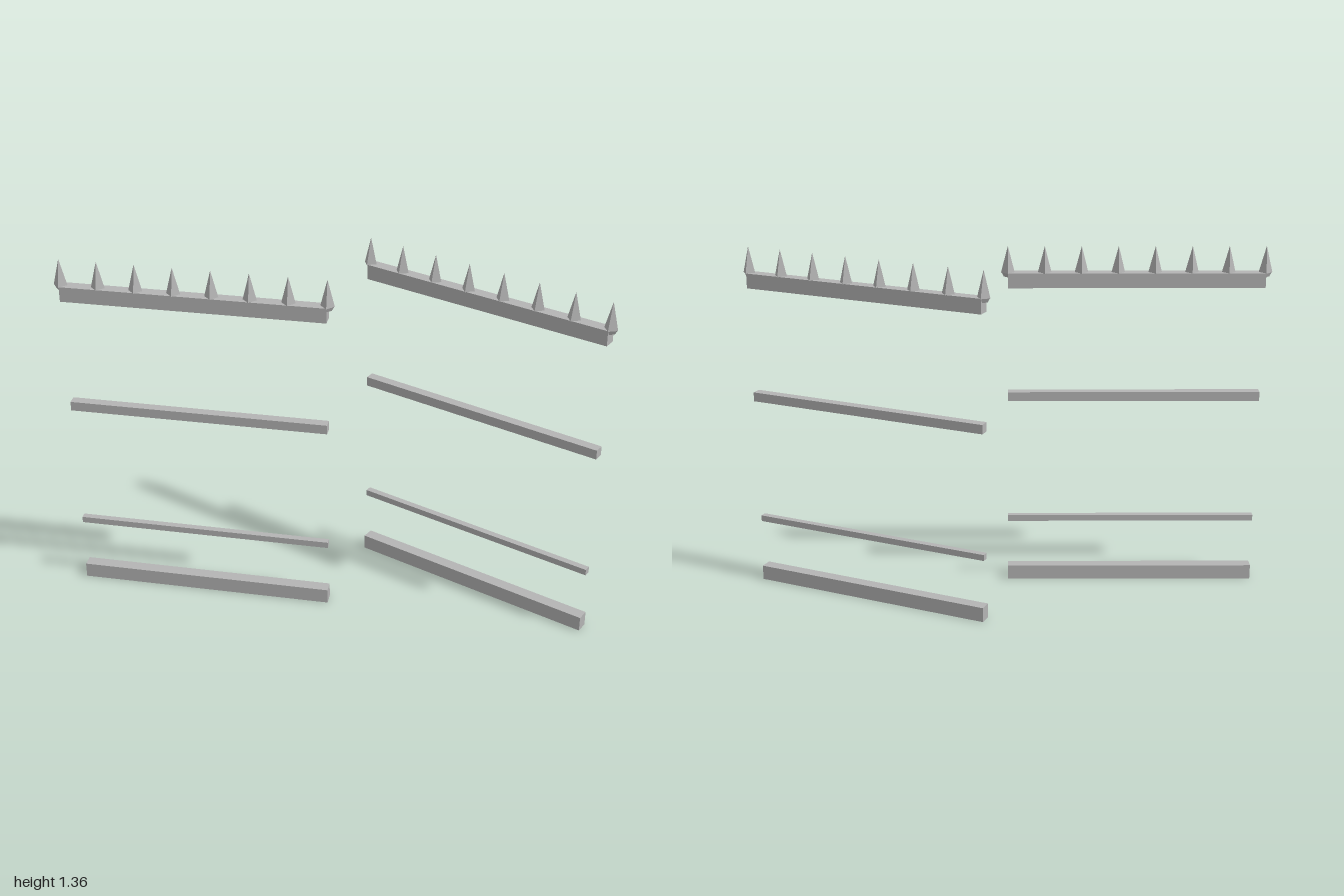
import * as THREE from 'three';

export function createModel() {
  const model = new THREE.Group();
  model.name = 'spikedFence';
  const iron = new THREE.MeshStandardMaterial({ color: 0xb4b4b4, flatShading: true });
  iron.name = 'grey iron';

  const LENGTH = 0.974, SPIKES = 8;
  // Each rail: name, bottom, top, depth
  const rails = [
    ['bottomRail', 0.004, 0.062, 0.046],
    ['thinRail', 0.252, 0.276, 0.025],
    ['middleRail', 0.755, 0.791, 0.037],
    ['topRail', 1.204, 1.261, 0.046],
  ];
  const spikeGeometry = new THREE.CylinderGeometry(0, 0.026, 0.101, 4);
  const collarGeometry = new THREE.CylinderGeometry(0.024, 0.015, 0.016, 4);

  function addMesh(parent, geometry, name, x, y) {
    const mesh = new THREE.Mesh(geometry, iron);
    mesh.name = name;
    mesh.position.set(x, y, 0);
    parent.add(mesh);
  }

  // One panel: four floating rails and a row of four-sided spikes
  function addPanel(name, x, z, angle) {
    const panel = new THREE.Group();
    panel.name = name;
    for (const [railName, bottom, top, depth] of rails) {
      const geometry = new THREE.BoxGeometry(LENGTH, top - bottom, depth);
      addMesh(panel, geometry, railName, 0, (bottom + top) / 2);
    }
    for (let i = 0; i < SPIKES; i++) {
      const sx = (i / (SPIKES - 1) - 0.5) * LENGTH;
      addMesh(panel, spikeGeometry, 'spike', sx, 1.3105);
      addMesh(panel, collarGeometry, 'spikeCollar', sx, 1.252);
    }
    panel.position.set(x, 0, z);
    panel.rotation.y = angle;
    model.add(panel);
  }

  addPanel('rightPanel', -0.488, 0.197, 0);
  addPanel('leftPanel', 0.53, -0.001, -Math.atan2(0.397, 0.89));
  return model;
}
